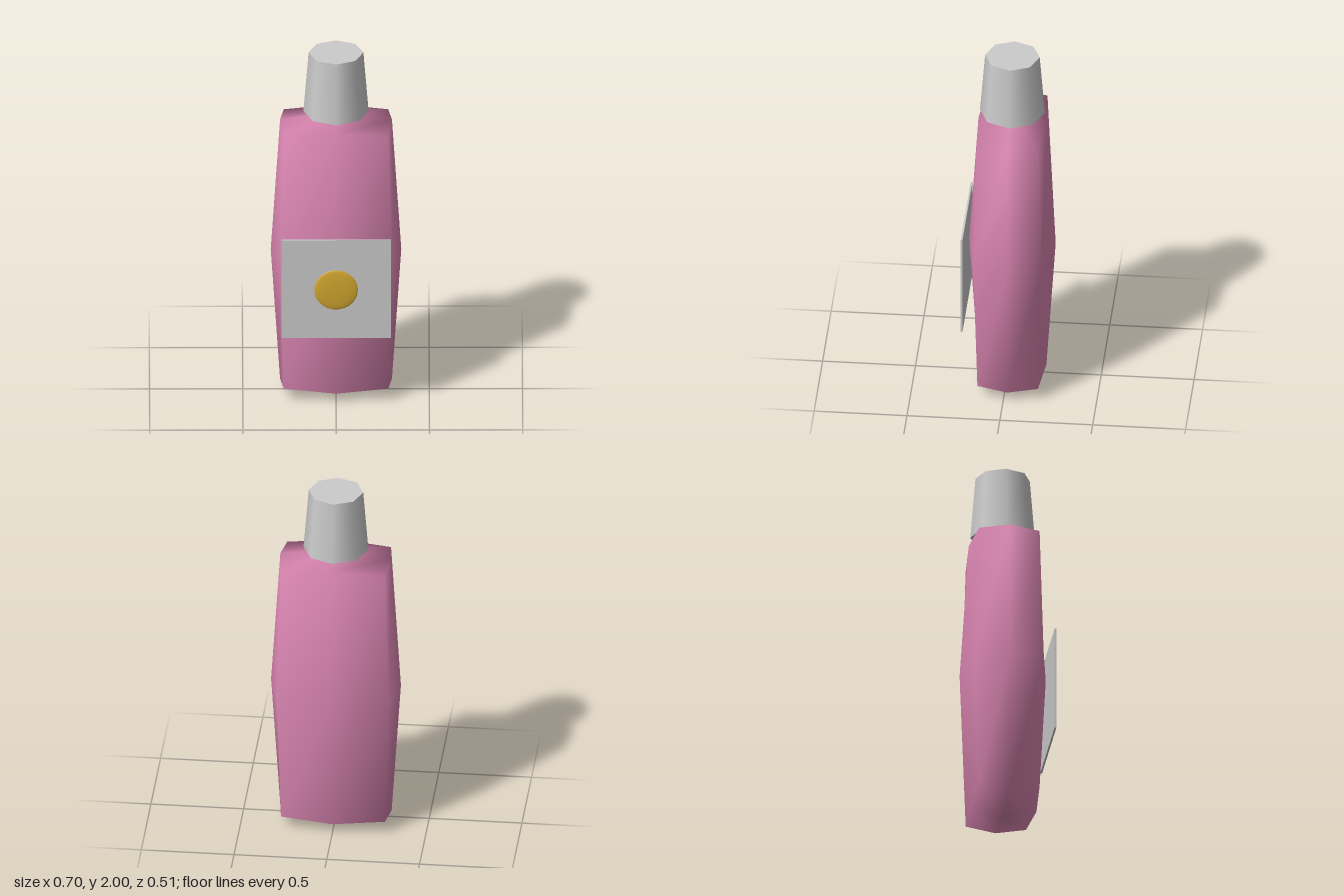
import * as THREE from 'three';
import { mergeVertices } from 'three/addons/utils/BufferGeometryUtils.js';

const AXIS_Z = -0.022; // the bottle and cap share this depth

function part(name, geometry, color, x, y, z) {
  const mesh = new THREE.Mesh(geometry, new THREE.MeshStandardMaterial({ color }));
  mesh.name = name;
  mesh.position.set(x, y, z);
  return mesh;
}

// Box split in two each way: face centres bulge out, corners are pulled in.
function bulgedBox(hx, hy, hz) {
  const box = new THREE.BoxGeometry(2, 2, 2, 2, 2, 2);
  box.deleteAttribute('normal');
  box.deleteAttribute('uv');
  const geometry = mergeVertices(box);
  const p = geometry.attributes.position;
  const offsets = [0, 0.05, 0, -0.02]; // face centre, edge middle, corner
  for (let i = 0; i < p.count; i++) {
    const s = [p.getX(i), p.getY(i), p.getZ(i)].map(Math.round);
    const d = offsets[s.filter((v) => v !== 0).length];
    p.setXYZ(i, s[0] * (hx + d), s[1] * (hy + d), s[2] * (hz + d));
  }
  geometry.computeVertexNormals();
  return geometry;
}

export function createModel() {
  const group = new THREE.Group();
  group.name = 'bottle';

  // Pink body
  group.add(part('body', bulgedBox(0.3, 0.775, 0.183), 0xdb86b2, 0, 0.825, AXIS_Z));

  // Eight-sided tapered cap
  group.add(part('cap', new THREE.CylinderGeometry(0.147, 0.175, 0.35, 8), 0xcccccc, 0, 1.825, AXIS_Z));

  // Thin square label standing just off the front
  group.add(part('label', new THREE.BoxGeometry(0.588, 0.585, 0.01), 0xcccccc, 0, 0.709, 0.225));

  // Flattened gold button on the label
  const button = new THREE.SphereGeometry(1, 32, 16);
  button.scale(0.117, 0.117, 0.0115);
  group.add(part('button', button, 0xd4a82f, 0, 0.711, 0.243));

  return group;
}
